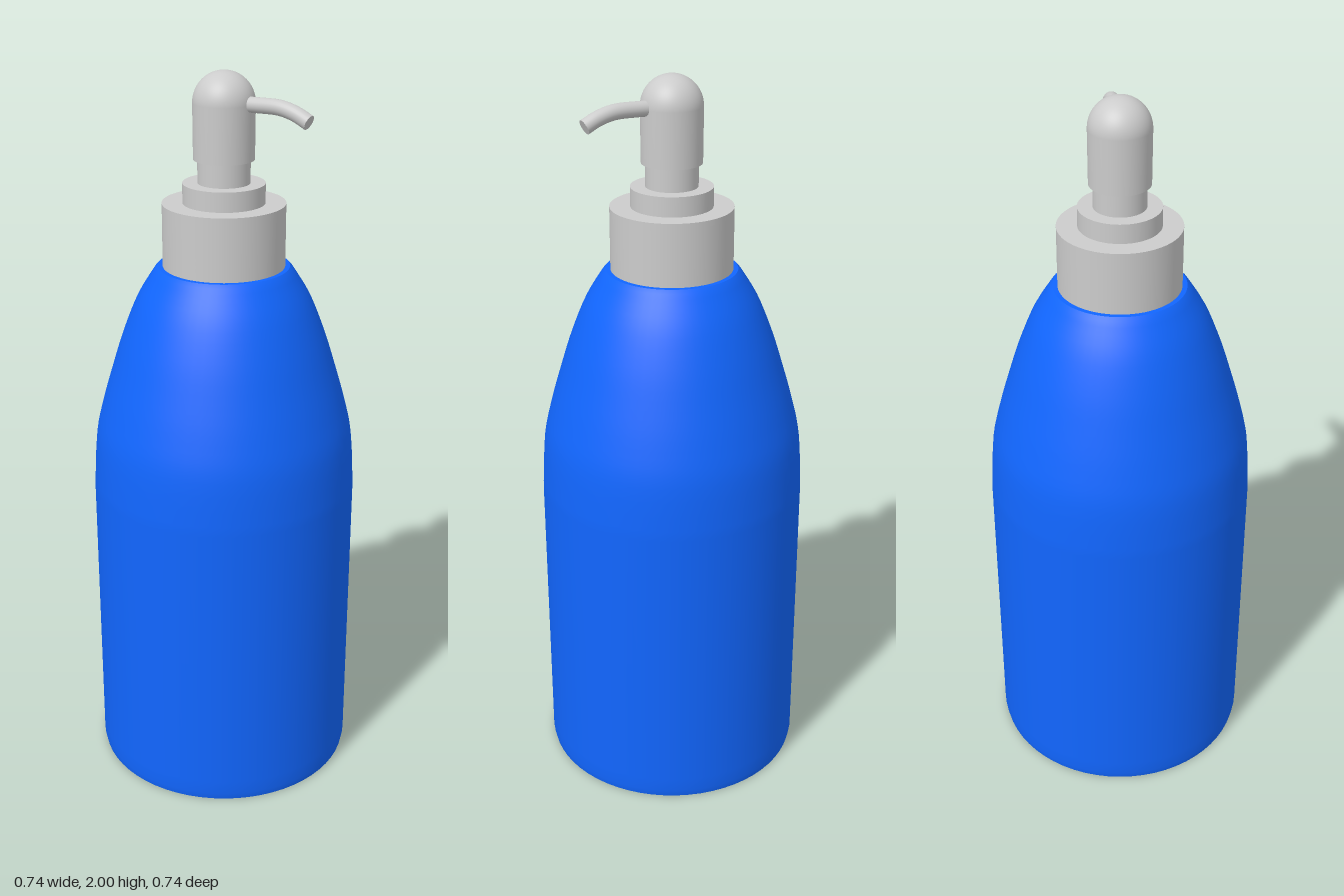
import * as THREE from 'three';

const SEGMENTS = 64;
const grey = new THREE.MeshStandardMaterial({ color: 0xcccccc });
const blue = new THREE.MeshStandardMaterial({ color: 0x1166ff });

const v2 = (x, y) => new THREE.Vector2(x, y);

function addMesh(parent, name, geometry, material) {
  const mesh = new THREE.Mesh(geometry, material);
  mesh.name = name;
  parent.add(mesh);
  return mesh;
}

// Upright cylinder between two heights
function addCylinder(parent, name, radius, bottom, top) {
  const geometry = new THREE.CylinderGeometry(radius, radius, top - bottom, SEGMENTS);
  addMesh(parent, name, geometry, grey).position.y = (bottom + top) / 2;
}

export function createModel() {
  const model = new THREE.Group();
  model.name = 'pumpBottle';

  // Bottle body: straight wall, then a shoulder curving in to the neck
  const shoulder = new THREE.SplineCurve([
    v2(0.368, 0.85), v2(0.358, 1.0), v2(0.336, 1.1), v2(0.307, 1.2),
    v2(0.275, 1.3), v2(0.234, 1.4), v2(0.187, 1.477),
  ]).getPoints(24);
  const wall = [v2(0.364, 0), v2(0.368, 0.02), v2(0.368, 0.06), v2(0.368, 0.45), ...shoulder, v2(0.178, 1.486)];
  addMesh(model, 'bottleBody', new THREE.LatheGeometry(wall, SEGMENTS), blue);
  addMesh(model, 'bottleBase', new THREE.CircleGeometry(0.364, SEGMENTS).rotateX(Math.PI / 2), blue);
  const neck = addMesh(model, 'bottleTop', new THREE.CircleGeometry(0.178, SEGMENTS).rotateX(-Math.PI / 2), blue);
  neck.position.y = 1.486;

  // Screw collar, ring and plunger stem
  addCylinder(model, 'collar', 0.165, 1.486, 1.657);
  addCylinder(model, 'collarRing', 0.11, 1.655, 1.71);
  addCylinder(model, 'pumpStem', 0.07, 1.7, 1.78);

  // Pump head: cylinder with a domed top
  const head = [v2(0.081, 1.772)];
  for (let i = 0; i <= 16; i++) {
    const a = (i / 16) * Math.PI / 2;
    head.push(v2(0.082 * Math.cos(a), 1.918 + 0.082 * Math.sin(a)));
  }
  addMesh(model, 'pumpHead', new THREE.LatheGeometry(head, SEGMENTS), grey);
  const underside = addMesh(model, 'pumpHeadUnderside', new THREE.CircleGeometry(0.081, SEGMENTS).rotateX(Math.PI / 2), grey);
  underside.position.y = 1.772;

  // Spout: bent tube with a flat end
  const path = new THREE.CatmullRomCurve3([
    new THREE.Vector3(0.04, 1.918, -0.002), new THREE.Vector3(0.1, 1.921, -0.002),
    new THREE.Vector3(0.17, 1.921, -0.002), new THREE.Vector3(0.215, 1.91, -0.002),
    new THREE.Vector3(0.252, 1.893, -0.002),
  ]);
  addMesh(model, 'spout', new THREE.TubeGeometry(path, 32, 0.02, 24), grey);
  const tip = addMesh(model, 'spoutTip', new THREE.CircleGeometry(0.02, 24), grey);
  tip.position.copy(path.getPoint(1));
  tip.quaternion.setFromUnitVectors(new THREE.Vector3(0, 0, 1), path.getTangent(1));

  return model;
}
